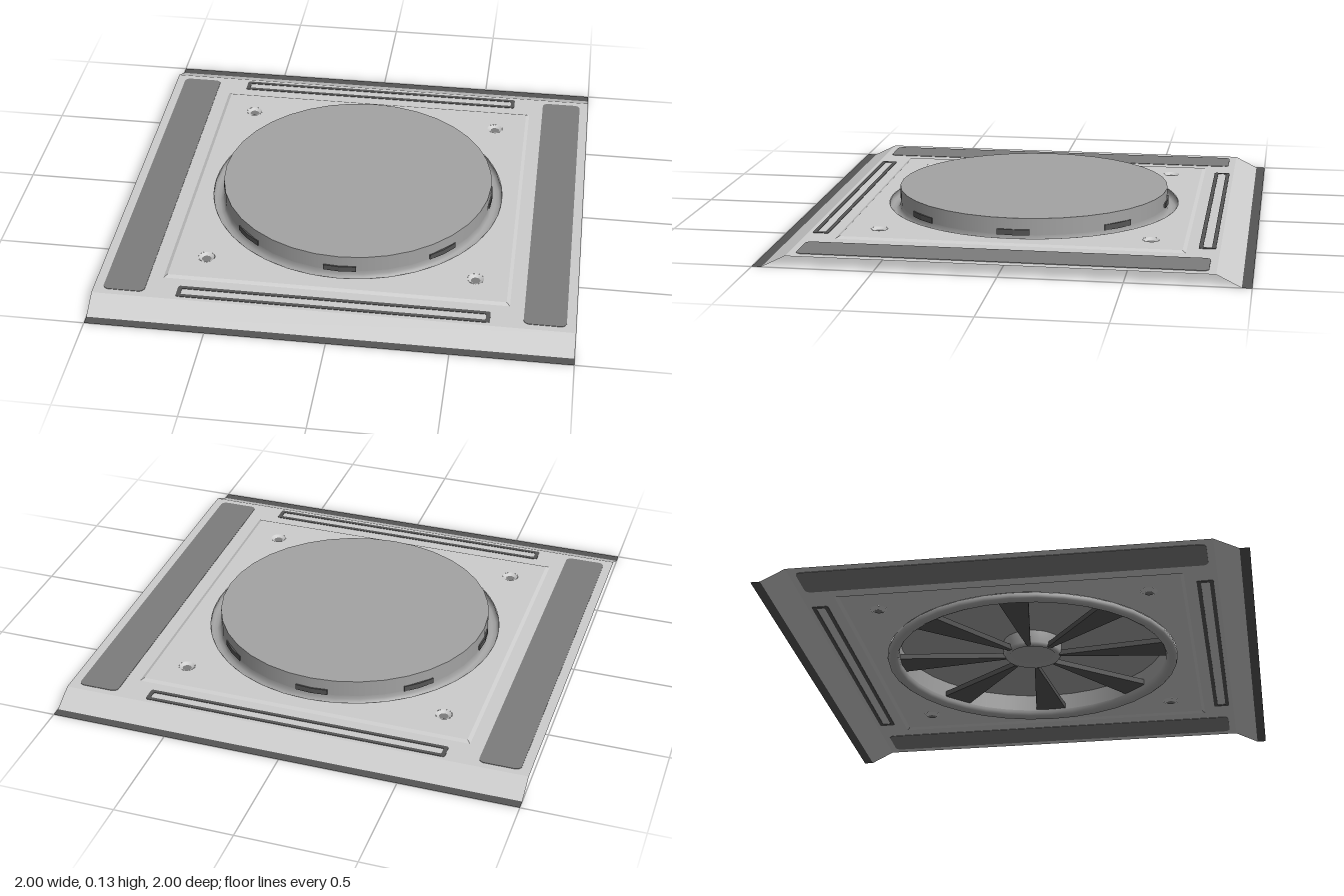
import * as THREE from 'three';

const mat = (name, color) => {
  const m = new THREE.MeshStandardMaterial({ color, side: THREE.DoubleSide });
  m.name = name;
  return m;
};

// Rounded rectangle outline, centred on (x, y)
function roundedRect(Type, x, y, w, h, r) {
  const p = new Type();
  const a = w / 2 - r, b = h / 2 - r;
  p.absarc(x + a, y + b, r, 0, Math.PI / 2);
  p.absarc(x - a, y + b, r, Math.PI / 2, Math.PI);
  p.absarc(x - a, y - b, r, Math.PI, Math.PI * 1.5);
  p.absarc(x + a, y - b, r, Math.PI * 1.5, Math.PI * 2);
  p.closePath();
  return p;
}

// Lay a flat shape down on the ground plane at a height
const flat = (shape, y) => new THREE.ShapeGeometry(shape, 36).rotateX(-Math.PI / 2).translate(0, y, 0);
const slab = (shape, y, depth, segs = 6) =>
  new THREE.ExtrudeGeometry(shape, { depth, bevelEnabled: false, curveSegments: segs })
    .rotateX(-Math.PI / 2).translate(0, y, 0);
const lathe = (pts, segs) => new THREE.LatheGeometry(pts.map(p => new THREE.Vector2(...p)), segs);

export function createModel() {
  const group = new THREE.Group();
  const steel = mat('light steel', 0xcccccc);
  const grey = mat('mid grey', 0xa3a3a3);
  const pad = mat('pad grey', 0x7c7c7c);
  const dark = mat('dark grey', 0x555555);
  const add = (name, geo, material) => {
    const m = new THREE.Mesh(geo, material);
    m.name = name;
    group.add(m);
    return m;
  };

  const SHEET = 0.05, PAN = 0.058, EDGE = 0.86, FOLD = 0.96;

  // Base sheet with a square opening
  const sheet = roundedRect(THREE.Shape, 0, 0, 2, EDGE * 2, 0.001);
  sheet.holes.push(roundedRect(THREE.Path, 0, 0, 1.45, 1.45, 0.001));
  add('baseSheet', flat(sheet, SHEET), steel);

  // Raised square pan: sloped rim and top with round opening and screw holes
  const rim = new THREE.CylinderGeometry(0.71 * Math.SQRT2, 0.725 * Math.SQRT2, PAN - SHEET, 4, 1, true)
    .toNonIndexed().rotateY(Math.PI / 4).translate(0, (PAN + SHEET) / 2, 0);
  rim.computeVertexNormals();
  add('panRim', rim, steel);
  const pan = roundedRect(THREE.Shape, 0, 0, 1.42, 1.42, 0.001);
  const hole = (x, y, r) => pan.holes.push(new THREE.Path().absarc(x, y, r, 0, Math.PI * 2, true));
  hole(0, 0, 0.642);
  const corners = [[1, 1], [1, -1], [-1, 1], [-1, -1]].map(c => c.map(v => v * 0.572));
  corners.forEach(([x, z]) => hole(x, z, 0.035));
  add('panTop', flat(pan, PAN), steel);

  // Countersunk dimples in the pan corners
  for (const [x, z] of corners) {
    add('dimple', lathe([[0.018, 0.048], [0.035, PAN]], 16), steel).position.set(x, 0, z);
    const floor = new THREE.CircleGeometry(0.02, 16).rotateX(-Math.PI / 2);
    add('dimpleFloor', floor, pad).position.set(x, 0.049, z);
  }

  for (const s of [1, -1]) {
    // Folded flange and its flat lip along front and back
    const run = FOLD - EDGE;
    const slope = new THREE.PlaneGeometry(2, Math.hypot(run, SHEET))
      .rotateX(-Math.PI / 2 + Math.atan2(SHEET, run))
      .translate(0, SHEET / 2, (EDGE + FOLD) / 2);
    const lip = new THREE.PlaneGeometry(2, 1 - FOLD).rotateX(-Math.PI / 2)
      .translate(0, 0, (1 + FOLD) / 2);
    const turn = s > 0 ? 0 : Math.PI;
    add('flange', slope, steel).rotation.y = turn;
    add('flangeLip', lip, dark).rotation.y = turn;

    // Long slot frames beside the pan
    const frame = roundedRect(THREE.Shape, 0, s * 0.807, 1.3, 0.07, 0.01);
    frame.holes.push(roundedRect(THREE.Path, 0, s * 0.807, 1.265, 0.036, 0.006));
    add('slotFrame', slab(frame, SHEET - 0.002, 0.004), dark);

    // Side pads, showing on both faces of the sheet
    add('sidePad', slab(roundedRect(THREE.Shape, s * 0.873, 0, 0.175, 1.66, 0.025), SHEET - 0.002, 0.004), pad);
  }

  // Round gutter hanging below the pan
  add('gutter', lathe([
    [0.642, PAN], [0.646, 0.045], [0.642, 0.033], [0.632, 0.026],
    [0.615, 0.025], [0.602, 0.032], [0.595, 0.045], [0.594, 0.06],
  ], 36), grey);

  // Hollow drum
  add('drumWall', new THREE.CylinderGeometry(0.594, 0.594, 0.076, 36, 1, true).translate(0, 0.094, 0), grey);
  add('drumTop', new THREE.CircleGeometry(0.594, 36).rotateX(-Math.PI / 2).translate(0, 0.132, 0), grey);

  // Hub beneath the drum top
  add('hub', lathe([
    [0.001, 0.068], [0.05, 0.071], [0.085, 0.08], [0.105, 0.064],
    [0.12, 0.062], [0.13, 0.075], [0.13, 0.131],
  ], 32), grey);

  // Eight tapered vent channels from wall to hub
  const wedge = new THREE.Shape();
  wedge.moveTo(0.12, -0.008);
  wedge.lineTo(0.594, -0.07);
  wedge.lineTo(0.6, 0);
  wedge.lineTo(0.594, 0.07);
  wedge.lineTo(0.12, 0.008);
  wedge.closePath();
  for (let i = 0; i < 8; i++) {
    add('ventChannel', slab(wedge, 0.06, 0.024), dark).rotation.y = i * Math.PI / 4;
  }
  return group;
}
